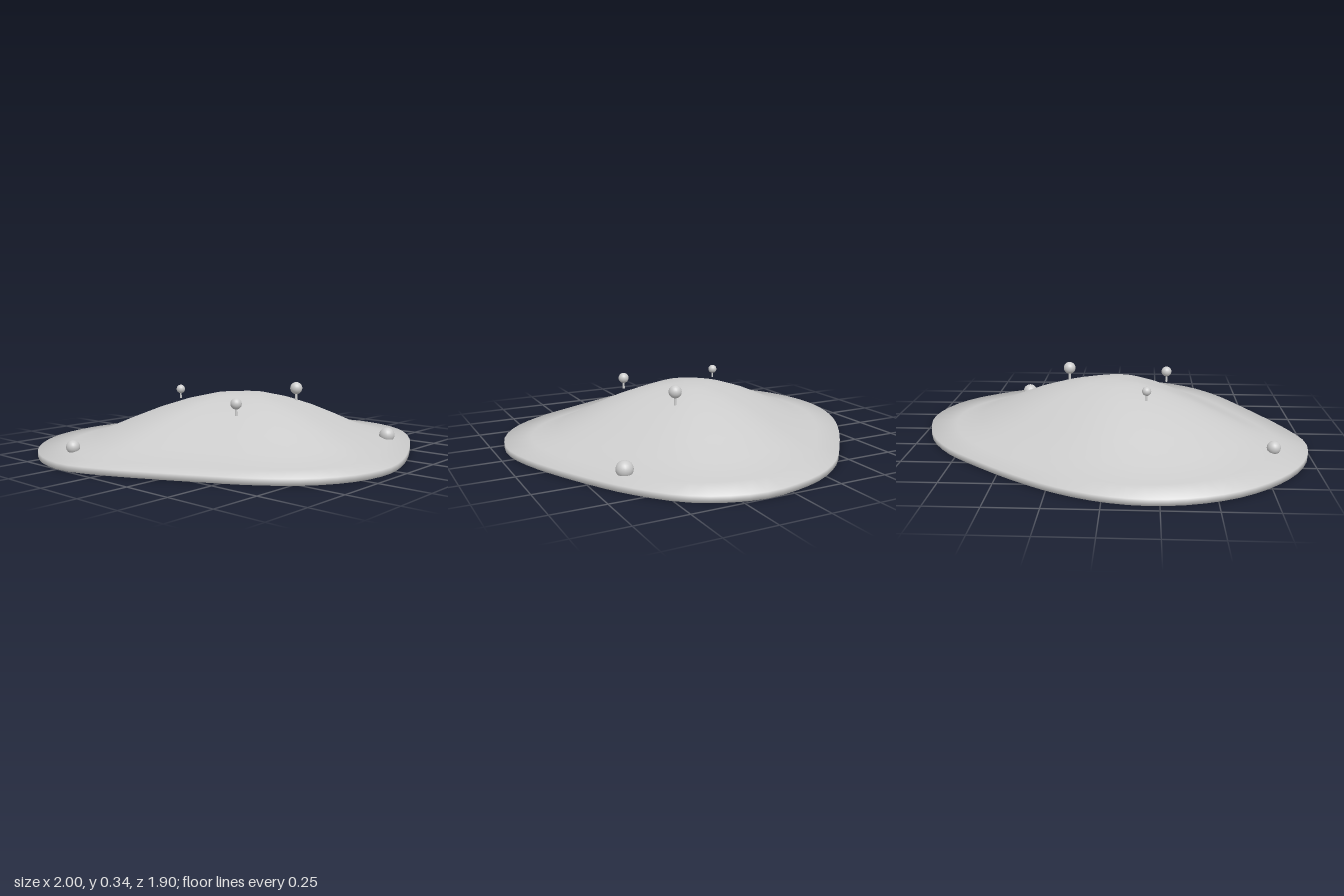
import * as THREE from 'three';

const SEG = 72;

// Plan of the island as x, z points
const OUTLINE = [
  [-0.2, -0.955], [0, -0.925], [0.2, -0.845], [0.4, -0.72], [0.64, -0.53], [0.8, -0.38],
  [0.92, -0.2], [0.985, 0], [1, 0.13], [0.97, 0.29], [0.88, 0.46], [0.7, 0.62],
  [0.5, 0.74], [0.2, 0.88], [0, 0.94], [-0.12, 0.948], [-0.3, 0.91], [-0.48, 0.8],
  [-0.63, 0.62], [-0.75, 0.4], [-0.85, 0.2], [-0.94, 0], [-1, -0.2], [-0.98, -0.38],
  [-0.9, -0.56], [-0.77, -0.72], [-0.6, -0.85], [-0.4, -0.93],
];

// Rings from the underside centre, round the rim, to the summit: scale of plan, height
const RINGS = [
  [0, 0], [1, 0], [1, 0.03], [0.857, 0.038], [0.714, 0.084], [0.571, 0.146],
  [0.429, 0.204], [0.286, 0.251], [0.143, 0.284], [0, 0.295],
];

function islandGeometry() {
  const curve = new THREE.CatmullRomCurve3(
    OUTLINE.map(([x, z]) => new THREE.Vector3(x, 0, z)), true);
  const plan = [], outward = [];
  for (let j = 0; j < SEG; j++) {
    plan.push(curve.getPointAt(j / SEG));
    const t = curve.getTangentAt(j / SEG);
    outward.push(new THREE.Vector3(t.z, 0, -t.x));
  }
  const positions = [], index = [];
  RINGS.forEach(([s, y], k) => {
    for (let j = 0; j < SEG; j++) {
      positions.push(plan[j].x * s, y, plan[j].z * s);
      if (k === RINGS.length - 1) continue;
      const a = k * SEG + j, b = k * SEG + (j + 1) % SEG;
      if (s > 0) index.push(a, a + SEG, b);
      if (RINGS[k + 1][0] > 0) index.push(b, a + SEG, b + SEG);
    }
  });
  const geo = new THREE.BufferGeometry();
  geo.setAttribute('position', new THREE.Float32BufferAttribute(positions, 3));
  geo.setIndex(index);
  geo.computeVertexNormals();

  // Soft rim: edge normals lean halfway out; both centres point straight
  const normals = geo.attributes.normal;
  for (let j = 0; j < SEG; j++) {
    const { x, z } = outward[j], h = Math.SQRT1_2;
    normals.setXYZ(j, 0, -1, 0);
    normals.setXYZ(SEG + j, x * h, -h, z * h);
    normals.setXYZ(2 * SEG + j, x * h, h, z * h);
    normals.setXYZ((RINGS.length - 1) * SEG + j, 0, 1, 0);
  }
  return geo;
}

export function createModel() {
  const group = new THREE.Group();
  const grey = new THREE.MeshStandardMaterial({ color: 0xcccccc });
  grey.name = 'plain grey';

  const add = (parent, name, geometry, x, y, z) => {
    const mesh = new THREE.Mesh(geometry, grey);
    mesh.name = name;
    mesh.position.set(x, y, z);
    parent.add(mesh);
  };

  add(group, 'island', islandGeometry(), 0, 0, 0);

  // Trees: round crown on a thin trunk; x, crown height, z, crown radius
  for (const [x, y, z, r] of [
    [-0.302, 0.279, 0.235, 0.028], [-0.19, 0.304, -0.268, 0.023], [0.24, 0.306, 0.186, 0.033],
  ]) {
    const tree = new THREE.Group();
    tree.name = 'tree';
    const length = r * 2.1;
    add(tree, 'trunk', new THREE.CylinderGeometry(r * 0.17, r * 0.22, length, 10), x, y - length / 2, z);
    add(tree, 'crown', new THREE.SphereGeometry(r, 20, 14), x, y, z);
    group.add(tree);
  }

  // Boulders half sunk in the shore
  for (const [x, y, z, r] of [[-0.812, 0.06, -0.386, 0.034], [0.53, 0.056, 0.583, 0.041]]) {
    add(group, 'boulder', new THREE.SphereGeometry(r, 20, 14), x, y, z);
  }
  return group;
}
